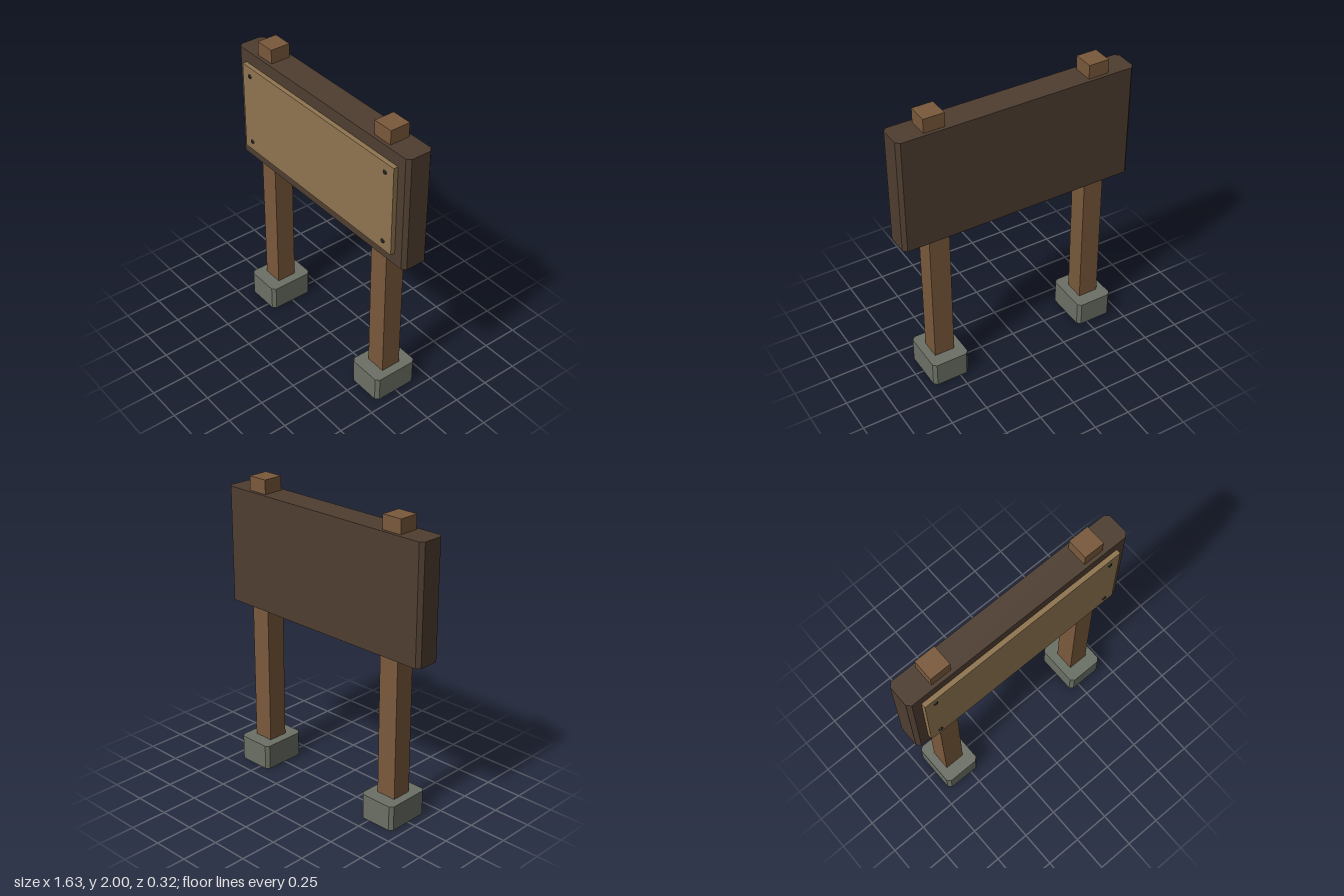
import * as THREE from 'three';

const material = (color) => new THREE.MeshStandardMaterial({ color, flatShading: true });

// Block with its four upright edges chamfered, standing on y = 0
function chamferedBlock(width, height, depth, c) {
  const x = width / 2, z = depth / 2;
  const outline = new THREE.Shape([
    [x, -z + c], [x, z - c], [x - c, z], [-x + c, z],
    [-x, z - c], [-x, -z + c], [-x + c, -z], [x - c, -z],
  ].map(([a, b]) => new THREE.Vector2(a, b)));
  return new THREE.ExtrudeGeometry(outline, { depth: height, bevelEnabled: false }).rotateX(-Math.PI / 2);
}

export function createModel() {
  const model = new THREE.Group();
  const wood = material(0x7a593c);
  const darkWood = material(0x4f3e31);
  const paleWood = material(0x8f7550);
  const stone = material(0x6b7065);
  const iron = material(0x2b2f30);

  const add = (name, geometry, mat, x, y, z) => {
    const mesh = new THREE.Mesh(geometry, mat);
    mesh.name = name;
    mesh.position.set(x, y, z);
    model.add(mesh);
    return mesh;
  };

  // Posts set in stone footings
  const postGeometry = new THREE.BoxGeometry(0.14, 1.99, 0.138);
  const footingGeometry = chamferedBlock(0.26, 0.17, 0.318, 0.022);
  for (const [side, sx] of [['left', 1], ['right', -1]]) {
    add(side + 'Post', postGeometry, wood, sx * 0.562, 1.005, 0);
    add(side + 'Footing', footingGeometry, stone, sx * 0.56, 0, 0);
  }

  // Dark backing board with a pale panel on its front
  add('board', chamferedBlock(1.626, 0.78, 0.185, 0.024), darkWood, 0, 1.126, 0);
  add('panel', new THREE.BoxGeometry(1.458, 0.613, 0.043), paleWood, 0, 1.5165, 0.102);

  // Nail heads at the panel corners
  const nailGeometry = new THREE.SphereGeometry(0.018, 6, 4).scale(1, 0.8, 0.7);
  for (const x of [-0.655, 0.655]) {
    for (const y of [1.272, 1.76]) add('nail', nailGeometry, iron, x, y, 0.122);
  }
  return model;
}
